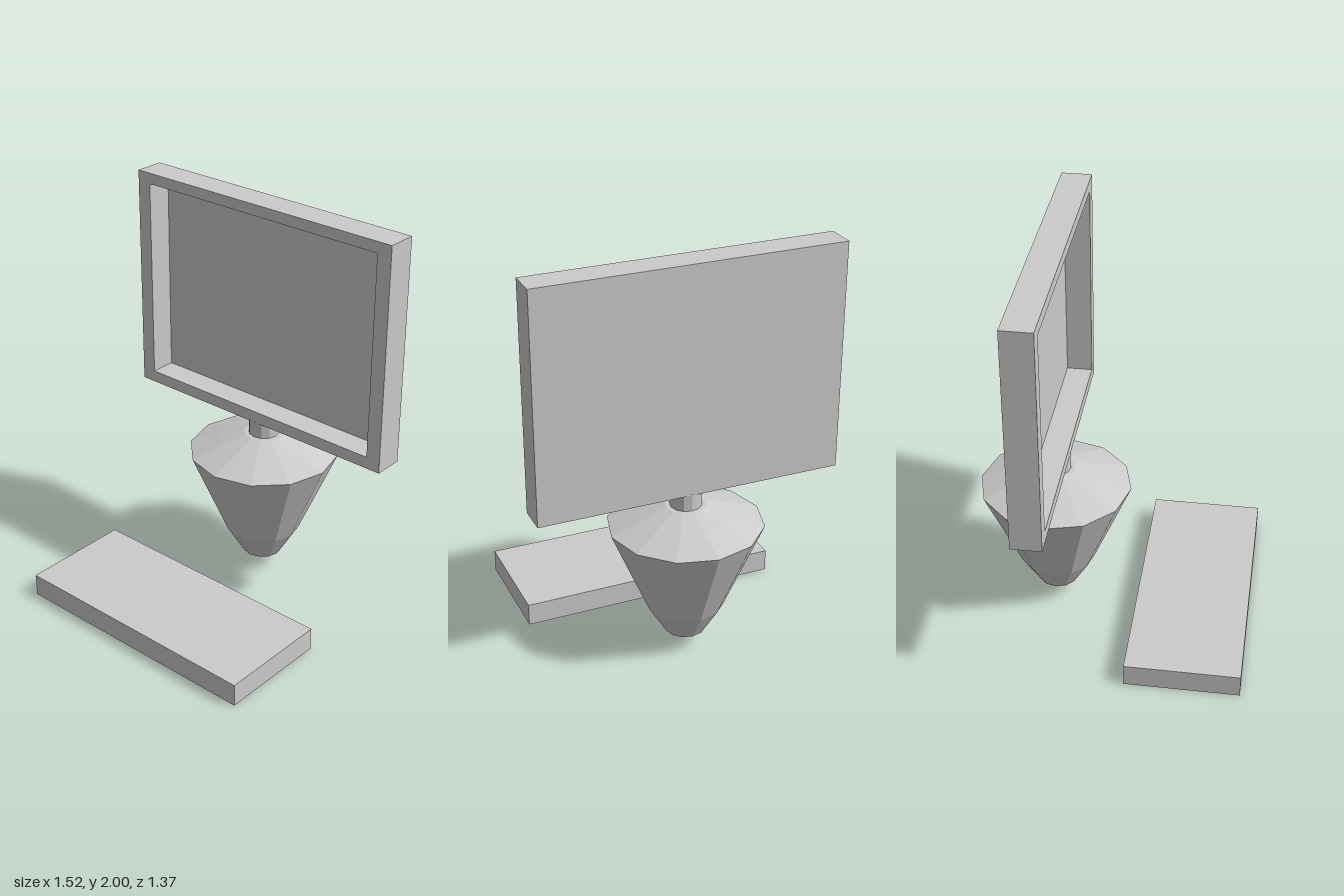
import * as THREE from 'three';

const material = new THREE.MeshStandardMaterial({ color: 0xcccccc, flatShading: true });

function addPart(parent, name, geometry, x, y, z) {
  const mesh = new THREE.Mesh(geometry, material);
  mesh.name = name;
  mesh.position.set(x, y, z);
  parent.add(mesh);
  return mesh;
}

// Rectangle outline, usable as a shape or as a hole
function rectangle(target, x0, y0, x1, y1) {
  target.moveTo(x0, y0);
  target.lineTo(x1, y0);
  target.lineTo(x1, y1);
  target.lineTo(x0, y1);
  target.closePath();
  return target;
}

export function createModel() {
  const model = new THREE.Group();
  model.name = 'desktopComputer';
  const axisZ = -0.31;
  const backZ = -0.385, panelDepth = 0.02, screenDepth = 0.15;

  // Screen: a back panel with a deep frame around the recess
  const screen = new THREE.Group();
  screen.name = 'screen';
  model.add(screen);
  addPart(screen, 'screenPanel', new THREE.BoxGeometry(1.52, 1.14, panelDepth),
    0, 1.43, backZ + panelDepth / 2);
  const frame = rectangle(new THREE.Shape(), -0.76, 0.86, 0.76, 2);
  frame.holes.push(rectangle(new THREE.Path(), -0.685, 0.92, 0.685, 1.945));
  addPart(screen, 'screenFrame',
    new THREE.ExtrudeGeometry(frame, { depth: screenDepth - panelDepth, bevelEnabled: false }),
    0, 0, backZ + panelDepth);

  // Twelve-sided tapering body, closed at both ends
  const profile = [
    [0, 0.085], [0.1, 0.085], [0.19, 0.235], [0.378, 0.68],
    [0.225, 0.735], [0.1, 0.777], [0, 0.78],
  ].map(([r, y]) => new THREE.Vector2(r, y));
  addPart(model, 'baseBody', new THREE.LatheGeometry(profile, 12), 0, 0, axisZ);

  // Neck joining the body to the screen
  addPart(model, 'neck', new THREE.CylinderGeometry(0.077, 0.077, 0.1, 12), 0, 0.815, axisZ);

  // Keyboard slab in front
  addPart(model, 'keyboard', new THREE.BoxGeometry(1.33, 0.115, 0.565), 0, 0.0575, 0.4025);

  return model;
}
